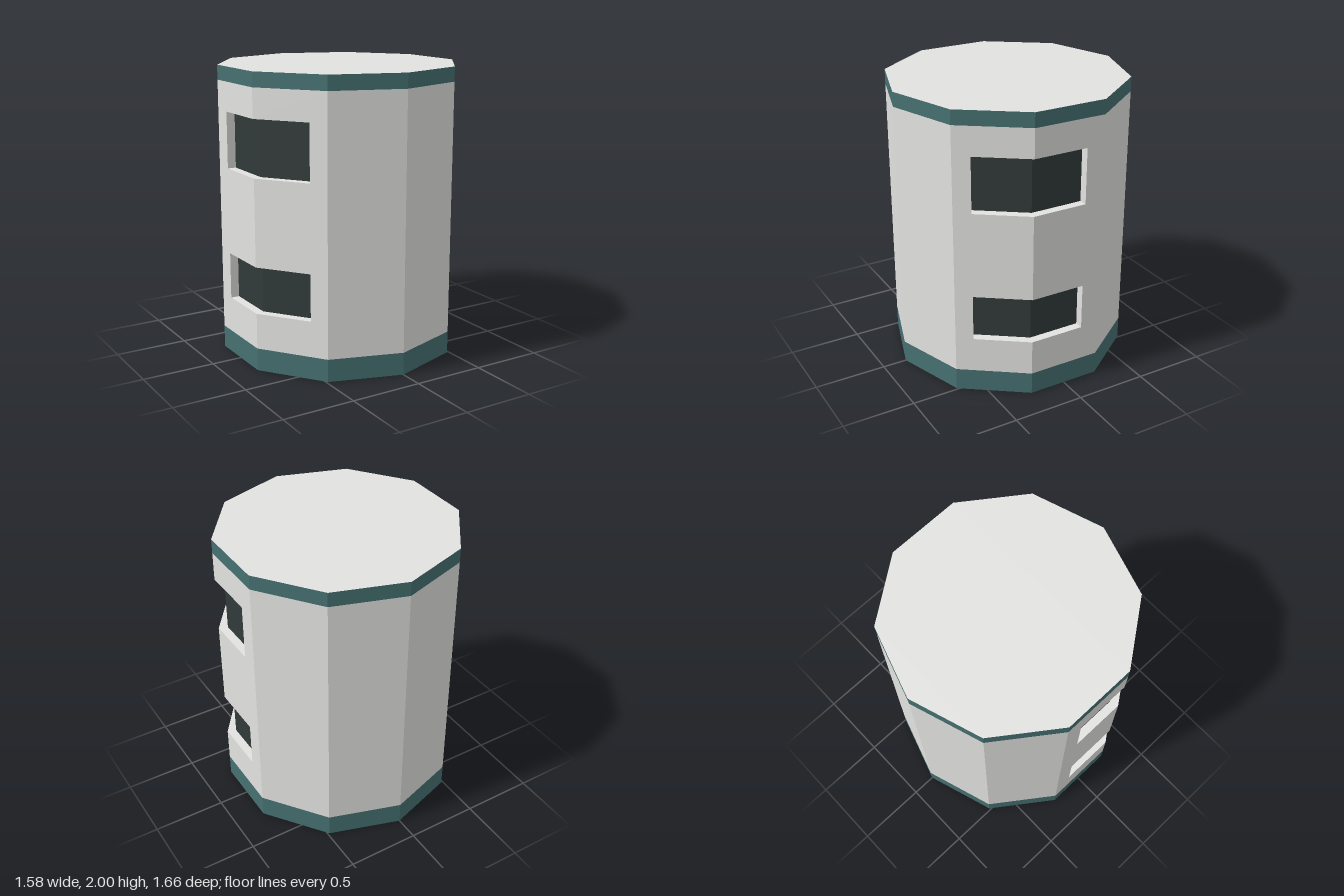
import * as THREE from 'three';

const SIDES = 10, R = 0.83, R_IN = 0.7676;

// corner k of a decagon, counted from +z towards +x
const corner = (k, r = R) => {
  const a = (k / SIDES) * Math.PI * 2;
  return [r * Math.sin(a), r * Math.cos(a)];
};
const mix = (a, b, t) => [a[0] + (b[0] - a[0]) * t, a[1] + (b[1] - a[1]) * t];
// same path on the -x side, still running round the body in the same direction
const mirror = (path) => path.map(([x, z]) => [-x, z]).reverse();

// upright faceted wall following a path of [x, z] points
function wall(path, y0, y1) {
  const pos = [];
  for (let i = 0; i < path.length - 1; i++) {
    const [ax, az] = path[i], [bx, bz] = path[i + 1];
    pos.push(ax, y0, az, bx, y0, bz, bx, y1, bz, ax, y0, az, bx, y1, bz, ax, y1, az);
  }
  const g = new THREE.BufferGeometry();
  g.setAttribute('position', new THREE.Float32BufferAttribute(pos, 3));
  g.computeVertexNormals();
  return g;
}

// flat level polygon at height y, facing up or down
function plate(path, y, up) {
  const s = up ? -1 : 1;
  const shape = new THREE.Shape(path.map(([x, z]) => new THREE.Vector2(x, s * z)));
  return new THREE.ShapeGeometry(shape).rotateX(s * Math.PI / 2).translate(0, y, 0);
}

export function createModel() {
  const model = new THREE.Group();
  const material = (name, color) => {
    const m = new THREE.MeshStandardMaterial({ color });
    m.name = name;
    return m;
  };
  const grey = material('pale grey', 0xe2e2e0);
  const teal = material('dark teal', 0x467071);
  const dark = material('dark glass', 0x313a39);
  const add = (name, geometry, mat, parent = model) => {
    const mesh = new THREE.Mesh(geometry, mat);
    mesh.name = name;
    parent.add(mesh);
  };

  const ring = Array.from({ length: SIDES + 1 }, (_, k) => corner(k));
  const outline = ring.slice(0, SIDES);

  // end caps and coloured bands
  add('floor', plate(outline, 0, false), grey);
  add('roof', plate(outline, 2, true), grey);
  add('bottomBand', wall(ring, 0, 0.155), teal);
  add('topBand', wall(ring, 1.9, 2), teal);

  // solid wall between the window rows
  for (const [y0, y1] of [[0.155, 0.4], [0.72, 1.315], [1.7, 1.9]]) {
    add('wallRing', wall(ring, y0, y1), grey);
  }

  // window opening wrapping one corner: outer edge and recessed glass line
  const outFront = mix(corner(1), corner(2), 0.235);
  const outBack = [corner(2)[0], -0.13];
  const glassFront = mix(corner(1, R_IN), corner(2, R_IN), 0.185);
  const glassBack = [corner(2, R_IN)[0], -0.13];
  const glass = [glassFront, corner(2, R_IN), glassBack];
  const recess = [outFront, corner(2), outBack, ...[...glass].reverse()];
  const frontHalf = [corner(0), corner(1), outFront];
  const backHalf = [outBack, corner(3), corner(4), corner(5)];

  for (const [y0, y1] of [[0.4, 0.72], [1.315, 1.7]]) {
    for (const side of [1, -1]) {
      const flip = (path) => (side > 0 ? path : mirror(path));
      const row = new THREE.Group();
      row.name = side > 0 ? 'leftWindow' : 'rightWindow';
      model.add(row);
      add('frontWall', wall(flip(frontHalf), y0, y1), grey, row);
      add('backWall', wall(flip(backHalf), y0, y1), grey, row);
      add('frontJamb', wall(flip([outFront, glassFront]), y0, y1), grey, row);
      add('backJamb', wall(flip([glassBack, outBack]), y0, y1), grey, row);
      add('sill', plate(flip(recess), y0, true), grey, row);
      add('lintel', plate(flip(recess), y1, false), grey, row);
      add('glass', wall(flip(glass), y0, y1), dark, row);
    }
  }
  return model;
}
